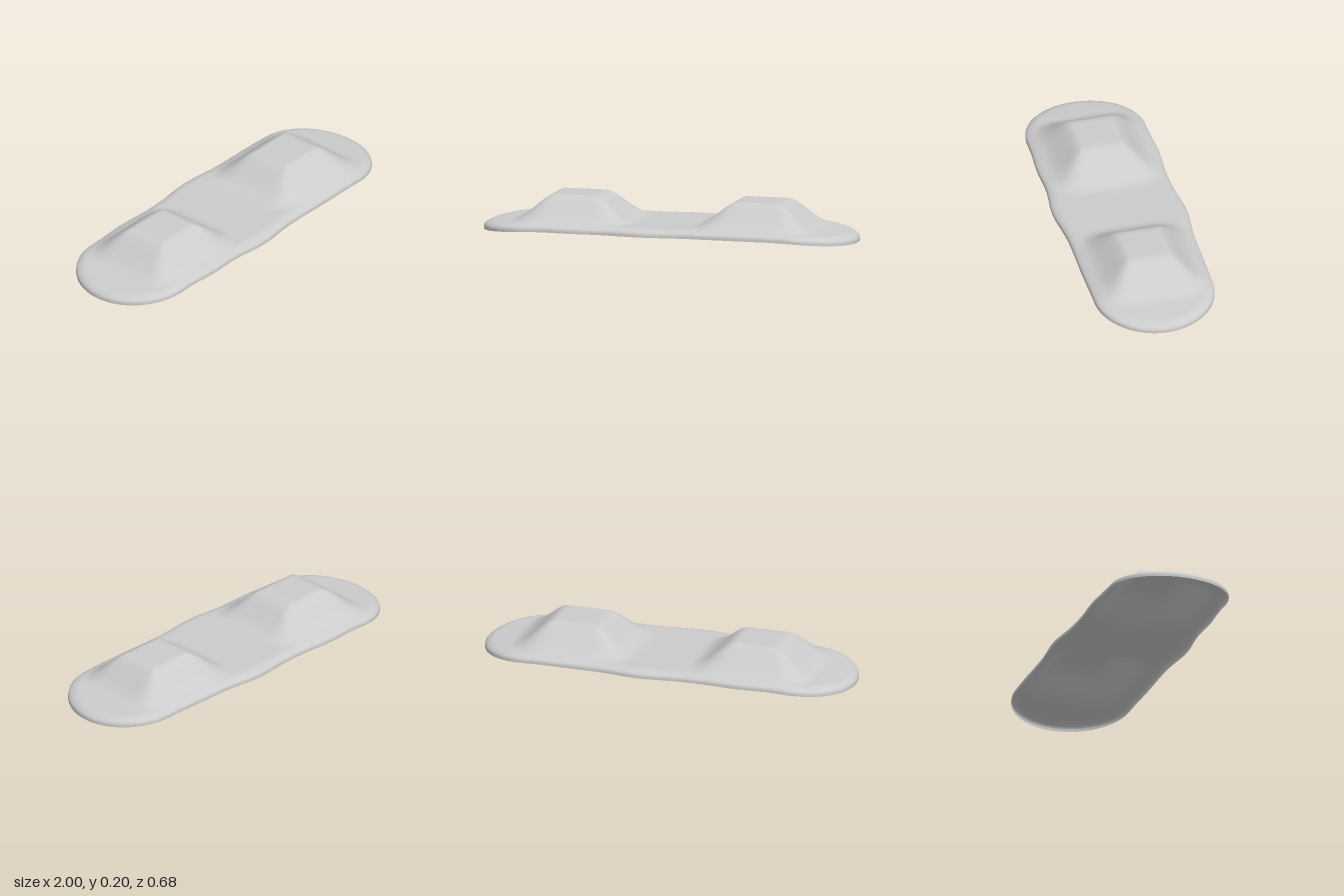
import * as THREE from 'three';
import { mergeVertices } from 'three/addons/utils/BufferGeometryUtils.js';

const STATIONS = 140; // points along each long side
const RINGS = 36;     // rings from the centre line to the rim
const SPINE = 0.7;    // half length of the straight part

const bell = (x, centre, width) => Math.exp(-(((x - centre) / width) ** 2));

// Half width of the plate: rounded ends, gently wavy long sides
function halfWidth(x, side) {
  const end = Math.min(1, Math.max(0, (Math.abs(x) - SPINE) / (1 - SPINE)));
  const wave = 0.024 * bell(x, -0.08 * side, 0.16) + 0.01 * bell(x, -0.45, 0.12) + 0.004 * bell(x, 0.45, 0.2);
  return (0.316 + wave) * Math.sqrt(1 - end * end);
}

// Both ends of the plate curve down
const droop = (x) => 0.03 * Math.max(0, (Math.abs(x) - 0.6) / 0.4) ** 1.7;

// Two flat-topped mounds with rounded-rectangle slopes
function mound(x, z) {
  const tx = Math.max(0, Math.abs(Math.abs(x) - 0.49) - 0.11) / 0.23;
  const tz = Math.max(0, Math.abs(z) - 0.1) / 0.2;
  const t = Math.min(1, (tx ** 3 + tz ** 3) ** (1 / 3)) ** 0.88;
  return 0.13 * (1 - t * t * (3 - 2 * t));
}

function shellGeometry() {
  // Outline: back edge left to right, then front edge right to left
  const outline = [];
  for (let i = 0; i <= STATIONS; i++) {
    const x = Math.sin(Math.PI * (i / STATIONS - 0.5));
    outline.push([x, -halfWidth(x, -1)]);
  }
  for (let i = STATIONS - 1; i > 0; i--) {
    const x = outline[i][0];
    outline.push([x, halfWidth(x, 1)]);
  }

  // Cross-section from centre line to lower edge: [reach, height]
  const section = [];
  for (let i = 0; i < RINGS; i++) section.push([0.84 * i / RINGS, 0.07]);
  const rim = [[0.05, 0.07], [0.035, 0.068], [0.02, 0.063], [0.009, 0.057], [0.002, 0.05], [0, 0.042], [0, 0.03]];
  for (const [inset, y] of rim) section.push([1 - inset / 0.32, y]);

  const positions = [], index = [];
  const n = outline.length;
  section.forEach(([reach, height], ring) => {
    outline.forEach(([ox, oz], j) => {
      const sx = Math.max(-SPINE, Math.min(SPINE, ox));
      const x = sx + (ox - sx) * reach;
      const z = oz * reach;
      positions.push(x, height - droop(x) + mound(x, z), z);
      if (ring === section.length - 1) return;
      const a = ring * n + j, b = ring * n + (j + 1) % n;
      index.push(a, b, a + n, b, b + n, a + n);
    });
  });

  let geometry = new THREE.BufferGeometry();
  geometry.setAttribute('position', new THREE.Float32BufferAttribute(positions, 3));
  geometry.setIndex(index);
  geometry = mergeVertices(geometry, 1e-5); // joins the centre line
  geometry.computeVertexNormals();
  return geometry;
}

export function createModel() {
  const group = new THREE.Group();
  group.name = 'twinMoundPlate';
  // Thin shell, open underneath
  const material = new THREE.MeshStandardMaterial({ color: 0xcccccc, side: THREE.DoubleSide });
  const shell = new THREE.Mesh(shellGeometry(), material);
  shell.name = 'plateShell';
  group.add(shell);
  return group;
}
